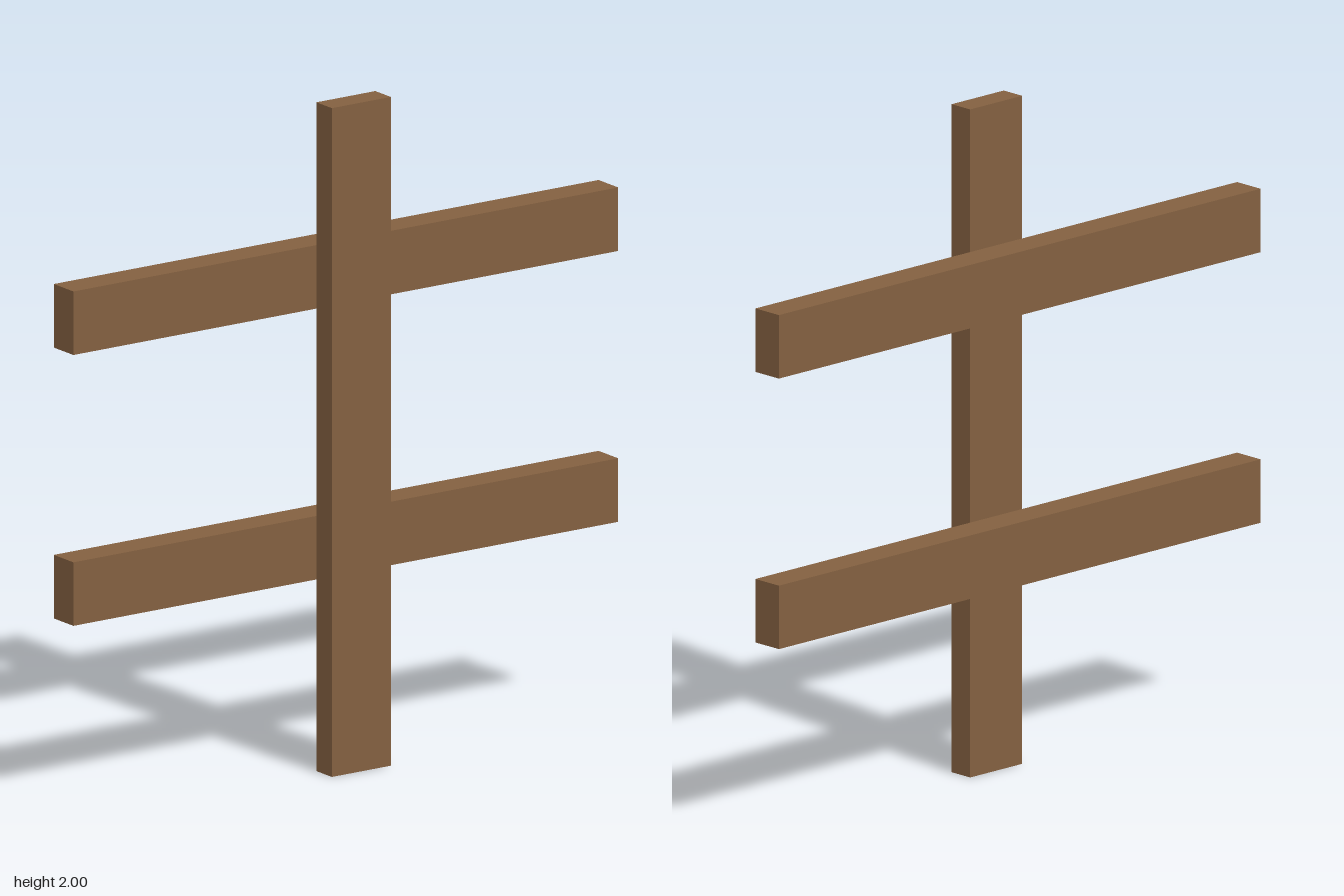
import * as THREE from 'three';

export function createModel() {
  const group = new THREE.Group();
  const wood = new THREE.MeshStandardMaterial({ color: 0x836040 });
  wood.name = 'brown wood';

  const beam = (name, w, h, d, y, z) => {
    const mesh = new THREE.Mesh(new THREE.BoxGeometry(w, h, d), wood);
    mesh.name = name;
    mesh.position.set(0, y, z);
    group.add(mesh);
  };

  // Upright post in front of the rails
  beam('post', 0.208, 2, 0.077, 1, 0.049);

  // Two horizontal rails fixed to the back of the post
  beam('lowerRail', 1.924, 0.19, 0.098, 0.668, -0.0385);
  beam('upperRail', 1.924, 0.19, 0.098, 1.478, -0.0385);

  return group;
}
